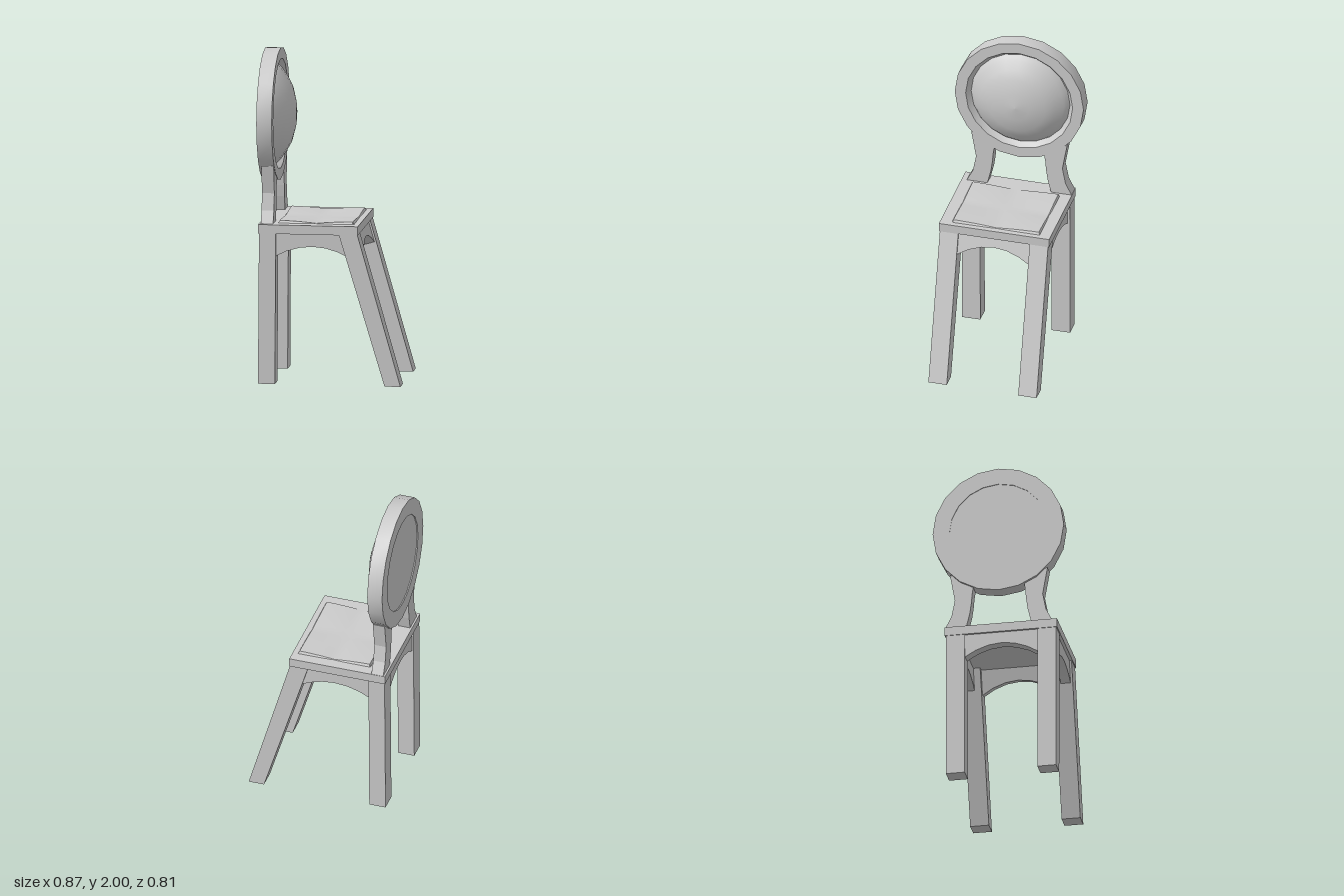
import * as THREE from 'three';
import { toCreasedNormals } from 'three/addons/utils/BufferGeometryUtils.js';

const ZC = 0.016; // middle of the seat and legs in z
const SEAT_BOTTOM = 0.92;
const material = new THREE.MeshStandardMaterial({ color: 0xcccccc });

function add(parent, name, geometry) {
  const mesh = new THREE.Mesh(geometry, material);
  mesh.name = name;
  parent.add(mesh);
  return mesh;
}

// Flat outline given as [x, y] points, pulled out to a depth centred on z = 0
function slab(points, depth) {
  const shape = new THREE.Shape(points.map(([x, y]) => new THREE.Vector2(x, y)));
  const geometry = new THREE.ExtrudeGeometry(shape, { depth, bevelEnabled: false });
  return geometry.translate(0, 0, -depth / 2);
}

// Rail with an arched lower edge; heights are measured from the seat bottom
function archedRail(halfWidth, drop, midDrop, depth) {
  const points = [[halfWidth, 0.03], [-halfWidth, 0.03]];
  for (let i = 0; i <= 6; i++) {
    const t = i / 3 - 1;
    points.push([t * halfWidth, -midDrop - (drop - midDrop) * t * t]);
  }
  return slab(points, depth);
}

// Lathe turned so that its axis points along +x, raised to the backrest centre
function disc(profile) {
  const points = profile.map(([r, x]) => new THREE.Vector2(r, x));
  return new THREE.LatheGeometry(points, 20).rotateZ(-Math.PI / 2).translate(0, 1.597, 0);
}

// Tufted pad with four soft lobes and a bevelled border
function padGeometry(width, depth) {
  const n = 16;
  const geometry = new THREE.PlaneGeometry(2, 2, n, n).rotateX(-Math.PI / 2);
  const pos = geometry.attributes.position;
  const lobe = (t) => 1 - (1 - Math.abs(t)) ** 2;
  const inset = (t, half) => (Math.abs(t) > 0.99 ? t * half : (t * n) / (n - 2) * (half - 0.01));
  for (let i = 0; i < pos.count; i++) {
    const u = pos.getX(i), v = pos.getZ(i);
    const border = Math.max(Math.abs(u), Math.abs(v)) > 0.99;
    const y = border ? 0.97 : 0.977 + 0.014 * lobe(u) * lobe(v);
    pos.setXYZ(i, inset(u, width / 2), y, inset(v, depth / 2));
  }
  return toCreasedNormals(geometry, 0.5);
}

export function createModel() {
  const chair = new THREE.Group();
  chair.name = 'chair';

  // Seat board and pad
  add(chair, 'seat', new THREE.BoxGeometry(0.607, 0.055, 0.69)).position.set(-0.128, 0.9475, 0.015);
  add(chair, 'seatPad', padGeometry(0.465, 0.555)).position.set(-0.088, 0, 0.013);

  const backLeg = slab([[-0.433, 0], [-0.33, 0], [-0.325, SEAT_BOTTOM], [-0.427, SEAT_BOTTOM]], 0.115);
  const frontLeg = slab([[0.338, 0], [0.435, 0], [0.173, SEAT_BOTTOM], [0.06, SEAT_BOTTOM]], 0.115);
  const sideRail = archedRail(0.235, 0.145, 0.077, 0.06);

  // Waisted post between seat and round frame, outlined in z and y
  const post = slab([
    [0.2, 0.97], [0.33, 0.97], [0.315, 1.0], [0.29, 1.05], [0.27, 1.153], [0.3, 1.325],
    [0.24, 1.3], [0.155, 1.24], [0.163, 1.19], [0.168, 1.13], [0.178, 1.06],
  ], 0.075).rotateY(-Math.PI / 2);

  for (const side of [1, -1]) {
    const label = side > 0 ? 'Near' : 'Far';
    add(chair, 'backLeg' + label, backLeg).position.z = ZC + side * 0.281;
    add(chair, 'frontLeg' + label, frontLeg).position.z = ZC + side * 0.281;
    add(chair, 'sideRail' + label, sideRail).position.set(-0.105, SEAT_BOTTOM, ZC + side * 0.295);
    const support = add(chair, 'backPost' + label, post);
    support.position.x = -0.3825;
    if (side < 0) support.rotation.y = Math.PI; // turned about its own centre plane
  }

  // Cross rails: the front one leans with the front legs
  const crossRail = archedRail(0.235, 0.152, 0.07, 0.065).rotateY(Math.PI / 2);
  add(chair, 'backRail', crossRail).position.set(-0.385, SEAT_BOTTOM, ZC);
  const frontRail = add(chair, 'frontRail', crossRail);
  frontRail.position.set(0.128, SEAT_BOTTOM, ZC);
  frontRail.rotation.z = 0.276;

  // Round backrest: frame ring, domed cushion and flat rear panel
  const ring = disc([
    [0.3, -0.437], [0.403, -0.437], [0.403, -0.343], [0.335, -0.343], [0.308, -0.378], [0.3, -0.437],
  ]);
  add(chair, 'backFrame', toCreasedNormals(ring, 0.5));
  add(chair, 'backCushion', disc([
    [0.312, -0.38], [0.297, -0.36], [0.28, -0.344], [0.235, -0.311], [0.18, -0.28], [0.09, -0.255], [0, -0.247],
  ]));
  add(chair, 'backPanel', disc([[0, -0.43], [0.305, -0.43]]));

  return chair;
}
